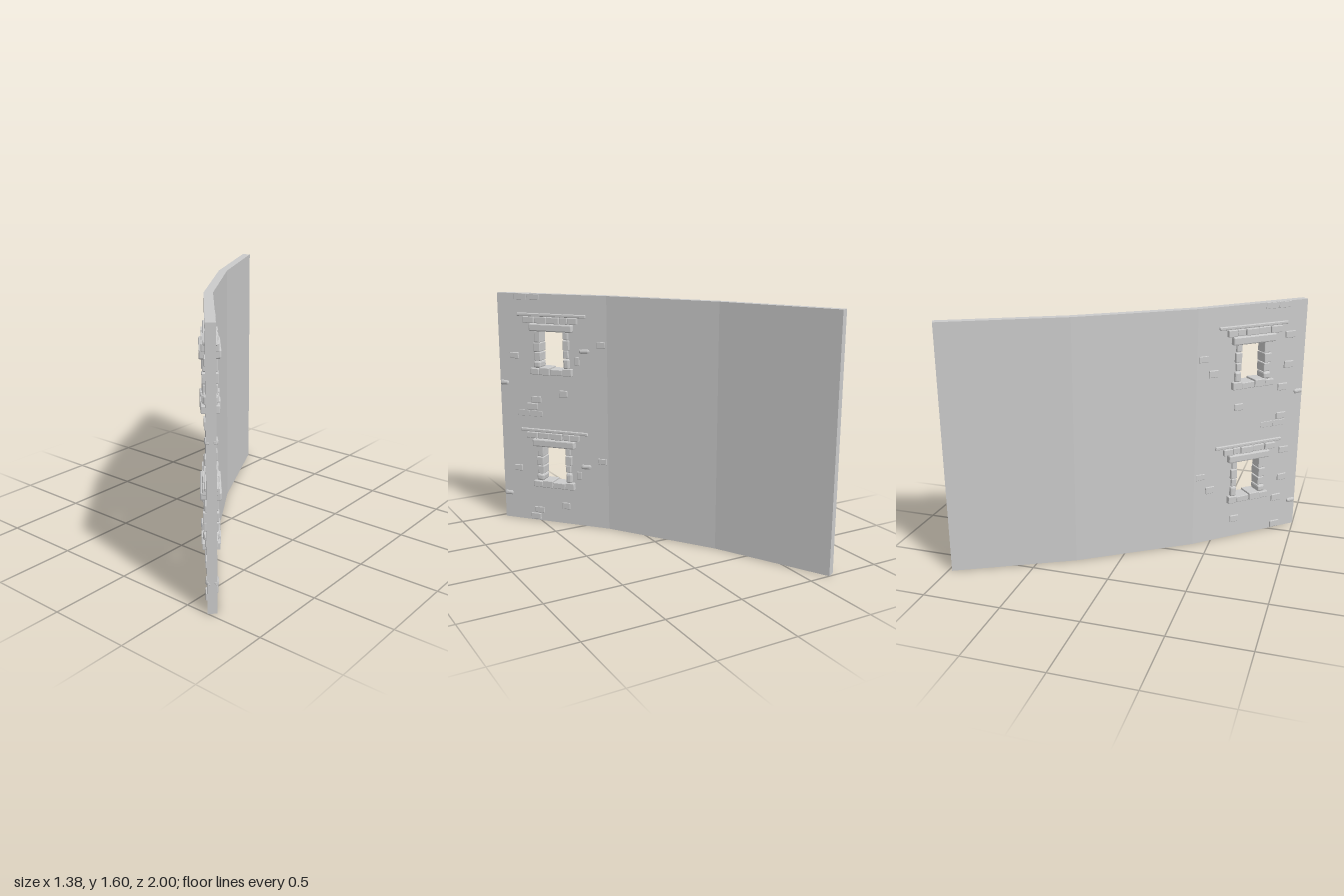
import * as THREE from 'three';
import { RoundedBoxGeometry } from 'three/addons/geometries/RoundedBoxGeometry.js';

const HEIGHT = 1.6, STOREY = 0.8, HALF = 0.027;
// Plan of the wall's centre line, as (x, z)
const PLAN = [[-0.664, -0.988], [-0.305, -0.283], [0.136, 0.38], [0.665, 0.982]]
  .map(([x, z]) => new THREE.Vector2(x, z));

const mat = new THREE.MeshStandardMaterial({ color: 0xcccccc, flatShading: true });

let seed = 7;
const rand = () => ((seed = (seed * 16807) % 2147483647) / 2147483647);

function add(parent, geometry, name) {
  const mesh = new THREE.Mesh(geometry, mat);
  mesh.name = name;
  parent.add(mesh);
  return mesh;
}

// Wall corner on one face (side = 1 front, -1 back), mitred at the bends
function corner(i, side) {
  const normal = (a, b) => {
    const d = b.clone().sub(a).normalize();
    return new THREE.Vector2(-d.y, d.x);
  };
  const before = normal(PLAN[Math.max(i - 1, 0)], PLAN[Math.max(i, 1)]);
  const after = normal(PLAN[Math.min(i, 2)], PLAN[Math.min(i + 1, 3)]);
  const miter = before.clone().add(after).normalize();
  return PLAN[i].clone().addScaledVector(miter, side * HALF / miter.dot(after));
}

// Chamfered stone between two corners, with slightly uneven corners
function stone(parent, name, u0, u1, y0, y1, v0, v1, bevel = 0.004, wobble = 0.003) {
  const w = u1 - u0, h = y1 - y0, d = v1 - v0;
  const g = new RoundedBoxGeometry(w, h, d, 1, Math.min(bevel, w * 0.4, h * 0.4, d * 0.4));
  const shift = Array.from({ length: 8 }, () => [rand() * wobble, rand() * wobble]);
  const p = g.attributes.position;
  for (let i = 0; i < p.count; i++) {
    const x = p.getX(i), y = p.getY(i), z = p.getZ(i);
    const [a, b] = shift[(x > 0 ? 1 : 0) + (y > 0 ? 2 : 0) + (z > 0 ? 4 : 0)];
    p.setX(i, x - Math.sign(x) * a);
    p.setY(i, y - Math.sign(y) * b);
  }
  g.computeVertexNormals();
  add(parent, g, name).position.set((u0 + u1) / 2, (y0 + y1) / 2, (v0 + v1) / 2);
}

// Stones laid side by side; cuts are the joints along the wall
function course(parent, name, cuts, y0, y1, depth, raise = 0) {
  for (let i = 0; i < cuts.length - 1; i++) {
    const d = depth - (i % 2) * 0.005;
    stone(parent, name, cuts[i], cuts[i + 1], y0, y1 + (i % 2 ? 0 : raise), -d, d);
  }
}

function windowSurround() {
  const g = new THREE.Group();
  g.name = 'windowSurround';
  course(g, 'sillStone', [0.257, 0.325, 0.42, 0.5, 0.57], 0.255, 0.3, 0.056, 0.008);
  // Jambs of stacked stones on both sides of the opening
  const leftJoints = [0.3, 0.375, 0.43, 0.5, 0.555], rightJoints = [0.3, 0.35, 0.41, 0.475, 0.555];
  for (let i = 0; i < 4; i++) {
    const out = (i % 2) * 0.008, d = 0.046 - (i % 2) * 0.004;
    stone(g, 'leftJambStone', 0.276 + out, 0.325, leftJoints[i], leftJoints[i + 1], -d, d, i ? 0.005 : 0.012);
    stone(g, 'rightJambStone', 0.489, 0.545 - out, rightJoints[i], rightJoints[i + 1], -d, d, i ? 0.005 : 0.012);
  }
  stone(g, 'lintel', 0.248, 0.565, 0.55, 0.605, -0.06, 0.06, 0.008);
  course(g, 'friezeStone', [0.215, 0.285, 0.345, 0.44, 0.53, 0.615], 0.603, 0.65, 0.048);
  stone(g, 'cornice', 0.155, 0.665, 0.648, 0.674, -0.038, 0.038, 0.005, 0.004);
  return g;
}

// Loose stones standing proud of a face: start, end, bottom, top, face offset
const FRONT_STONES = [
  [0.092, 0.158, 0.35, 0.4, 0.036], [0.017, 0.09, 0.455, 0.5, 0.03],
  [0.288, 0.355, 0.105, 0.155, 0.036], [0.651, 0.728, 0.555, 0.602, 0.036],
  [0.651, 0.725, 0.353, 0.402, 0.036], [0.613, 0.688, 0.203, 0.255, 0.036],
  [0.613, 0.688, 0.004, 0.053, 0.036],
];
const BACK_STONES = [
  [0.66, 0.73, 0.355, 0.4, 0.034], [0.527, 0.607, 0.004, 0.053, 0.036],
  [0.5, 0.58, 0.055, 0.103, 0.032], [0.3, 0.367, 0.105, 0.155, 0.033],
  [0.133, 0.215, 0.408, 0.448, 0.036, 0.014], [0.02, 0.087, 0.455, 0.5, 0.032],
  [0.207, 0.247, 0.33, 0.39, 0.031],
];

function looseStones() {
  const g = new THREE.Group();
  g.name = 'looseStones';
  for (const [u0, u1, y0, y1, v, bevel] of FRONT_STONES) stone(g, 'frontStone', u0, u1, y0, y1, 0, v, bevel);
  for (const [u0, u1, y0, y1, v, bevel] of BACK_STONES) stone(g, 'backStone', u0, u1, y0, y1, -v, 0, bevel);
  // Nearly flush stones at the top of the storey
  for (const u of [0.495, 0.592]) stone(g, 'flushStone', u, u + 0.095, 0.757, 0.8, -0.029, 0.029, 0.002);
  // Rounded stones wrapping the end of the wall
  stone(g, 'endStone', 0.742, 0.812, 0.163, 0.202, -0.036, -0.001, 0.013);
  stone(g, 'endStone', 0.742, 0.812, 0.163, 0.202, 0.001, 0.036, 0.013);
  return g;
}

export function createModel() {
  const model = new THREE.Group();
  model.name = 'curvedWall';

  // Plain bent part of the wall: plan outline extruded upwards
  const outline = [0, 1, 2].map(i => corner(i, 1)).concat([2, 1, 0].map(i => corner(i, -1)));
  const plain = new THREE.ExtrudeGeometry(
    new THREE.Shape(outline.map(p => new THREE.Vector2(p.x, -p.y))),
    { depth: HEIGHT, bevelEnabled: false });
  plain.rotateX(-Math.PI / 2);
  add(model, plain, 'plainWall');

  // Window part: local x runs along the wall, z points out of its front
  const [start, end] = [PLAN[2], PLAN[3]];
  const along = end.clone().sub(start);
  const section = new THREE.Group();
  section.name = 'windowWall';
  section.position.set(start.x, 0, start.y);
  section.rotation.y = -Math.atan2(along.y, along.x);
  model.add(section);

  const rect = (Type, x0, x1, y0, y1) => new Type(
    [[x0, y0], [x1, y0], [x1, y1], [x0, y1]].map(([x, y]) => new THREE.Vector2(x, y)));
  const face = rect(THREE.Shape, 0, along.length(), 0, HEIGHT);
  for (const y of [0, STOREY]) face.holes.push(rect(THREE.Path, 0.3, 0.5, 0.29 + y, 0.56 + y));
  const panel = new THREE.ExtrudeGeometry(face, { depth: HALF * 2, bevelEnabled: false });
  panel.translate(0, 0, -HALF);
  // Meet the mitre of the bend
  const p = panel.attributes.position;
  const lean = corner(2, 1).sub(start).dot(along.clone().normalize()) / HALF;
  for (let i = 0; i < p.count; i++) if (p.getX(i) < 0.001) p.setX(i, lean * p.getZ(i));
  panel.computeVertexNormals();
  add(section, panel, 'windowPanel');

  // Both storeys carry the same stonework
  for (const y of [0, STOREY]) {
    for (const part of [windowSurround(), looseStones()]) {
      part.position.set(-0.008, y, 0);
      section.add(part);
    }
  }
  return model;
}
